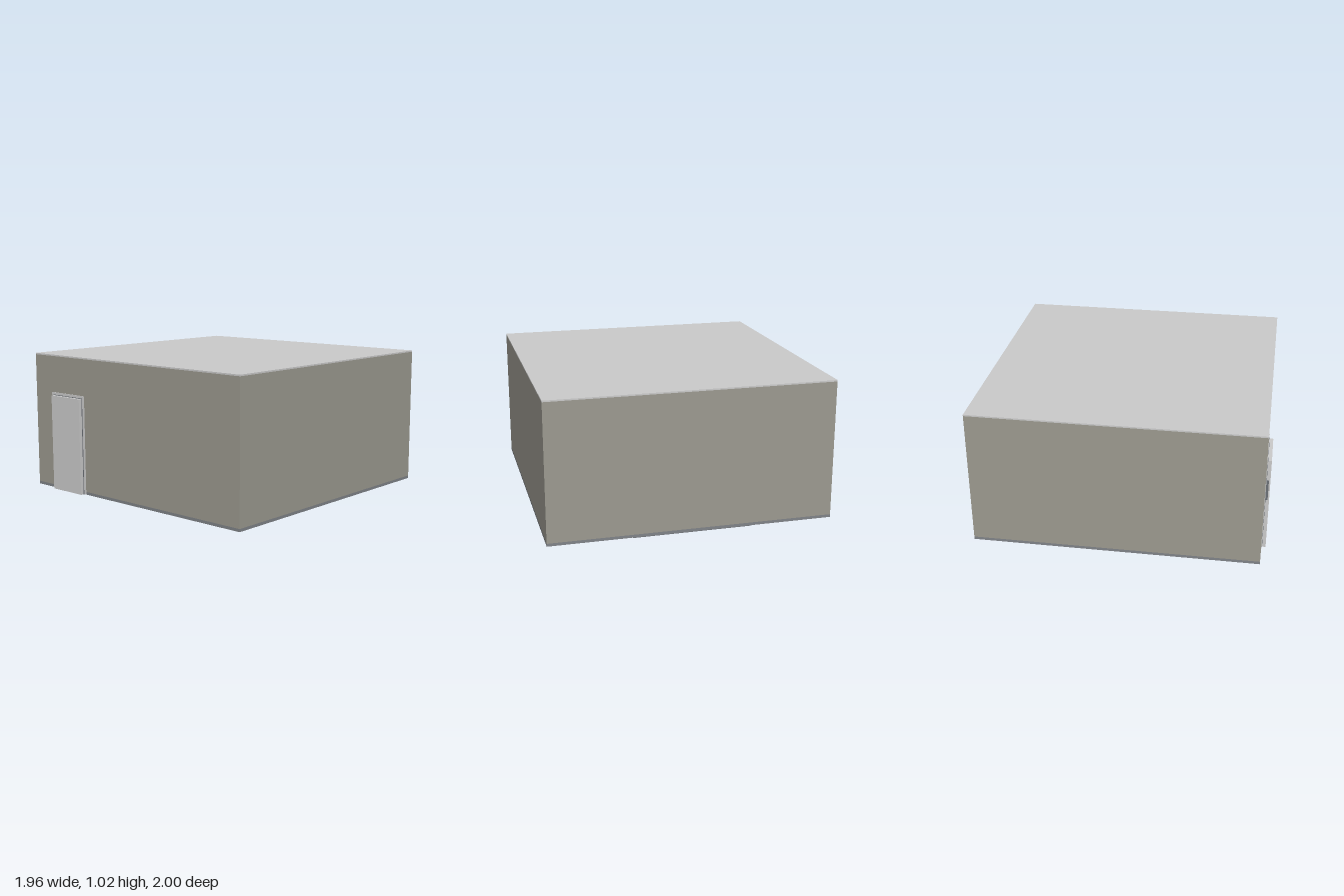
import * as THREE from 'three';

const mat = (color, side = THREE.FrontSide) => new THREE.MeshStandardMaterial({ color, side });
const grey = mat(0xcccccc);
const wallMat = mat(0x9c9a90);
const floorMat = mat(0x808388, THREE.DoubleSide);
const trimMat = mat(0x6c7076);
const darkMat = mat(0x222222);

// Outer limits of the room
const X = 0.98, ZB = -1, ZF = 0.97, BASE = 0.045, ROOF = 1.02, T = 0.03;
const ZC = (ZB + ZF) / 2, DEPTH = ZF - ZB;

export function createModel() {
  const model = new THREE.Group();

  const add = (name, geometry, material) => {
    const mesh = new THREE.Mesh(geometry, material);
    mesh.name = name;
    model.add(mesh);
    return mesh;
  };
  // Box given by its lower and upper limits
  const box = (name, material, x0, x1, y0, y1, z0, z1) => {
    const g = new THREE.BoxGeometry(x1 - x0, y1 - y0, z1 - z0);
    g.translate((x0 + x1) / 2, (y0 + y1) / 2, (z0 + z1) / 2);
    return add(name, g, material);
  };

  // Walls, each standing on a flush base strip
  const ring = (name, material, y0, y1) => {
    for (const s of [-1, 1]) {
      const a = s * X, b = s * (X - T);
      box(name + (s > 0 ? 'Left' : 'Right'), material, Math.min(a, b), Math.max(a, b), y0, y1, ZB, ZF);
    }
    box(name + 'Back', material, -X + T, X - T, y0, y1, ZB, ZB + T);
    box(name + 'Front', material, -X + T, X - T, y0, y1, ZF - T, ZF);
  };
  ring('baseStrip', floorMat, BASE, 0.065);
  ring('wall', wallMat, 0.065, 1.01);

  // Roof slab with two shallow recesses above the ceiling lights
  const lip = 0.003;
  box('roofSlab', grey, -X, X, 1.01, ROOF - lip, ZB, ZF);
  const rect = (C, x0, x1, z0, z1) => {
    const p = new C();
    p.moveTo(x0, -z0).lineTo(x1, -z0).lineTo(x1, -z1).lineTo(x0, -z1).closePath();
    return p;
  };
  const top = rect(THREE.Shape, -X, X, ZB, ZF);
  for (const z of [-0.5, 0.22]) top.holes.push(rect(THREE.Path, -0.19, 0.19, z, z + 0.18));
  const topGeo = new THREE.ExtrudeGeometry(top, { depth: lip, bevelEnabled: false });
  topGeo.rotateX(-Math.PI / 2).translate(0, ROOF - lip, 0);
  add('roofTop', topGeo, grey);

  // Floor falling gently from all four walls to the drain
  const drainZ = -0.14, fall = 0.01;
  const floor = new THREE.ConeGeometry(Math.SQRT1_2, fall, 4, 1, true, Math.PI / 4);
  floor.rotateX(Math.PI).scale(2 * X, 1, DEPTH).translate(0, BASE - fall / 2, ZC);
  const p = floor.attributes.position;
  for (let i = 0; i < p.count; i++) if (p.getY(i) < BASE - fall / 2) p.setZ(i, drainZ);
  floor.computeVertexNormals();
  add('floor', floor, floorMat);

  // Drain pipe
  const drain = new THREE.CylinderGeometry(0.024, 0.024, 0.045, 24);
  drain.translate(0, 0.0225, drainZ);
  add('drainPipe', drain, darkMat);

  // Fixture base and rear trough showing through the floor
  box('fixtureBase', grey, 0.66, 0.86, 0.036, 0.06, -0.19, 0.06);
  box('rearTrough', trimMat, -0.41, 0.41, 0.041, 0.06, ZB + 0.002, -0.92);

  // Door frame, seal and leaf
  const frame = (name, material, x0, x1, y1, w, z1) => {
    box(name + 'RightPost', material, x0, x0 + w, BASE, y1, ZF - T, z1);
    box(name + 'LeftPost', material, x1 - w, x1, BASE, y1, ZF - T, z1);
    box(name + 'Head', material, x0 + w, x1 - w, y1 - w, y1, ZF - T, z1);
  };
  frame('doorFrame', grey, -0.8, -0.455, 0.75, 0.017, 0.974);
  frame('doorSeal', trimMat, -0.783, -0.472, 0.733, 0.008, 0.976);
  box('door', grey, -0.776, -0.477, BASE, 0.729, ZF - T, 1);
  box('doorPull', trimMat, -0.783, -0.776, 0.43, 0.58, ZF, 0.99);

  return model;
}
